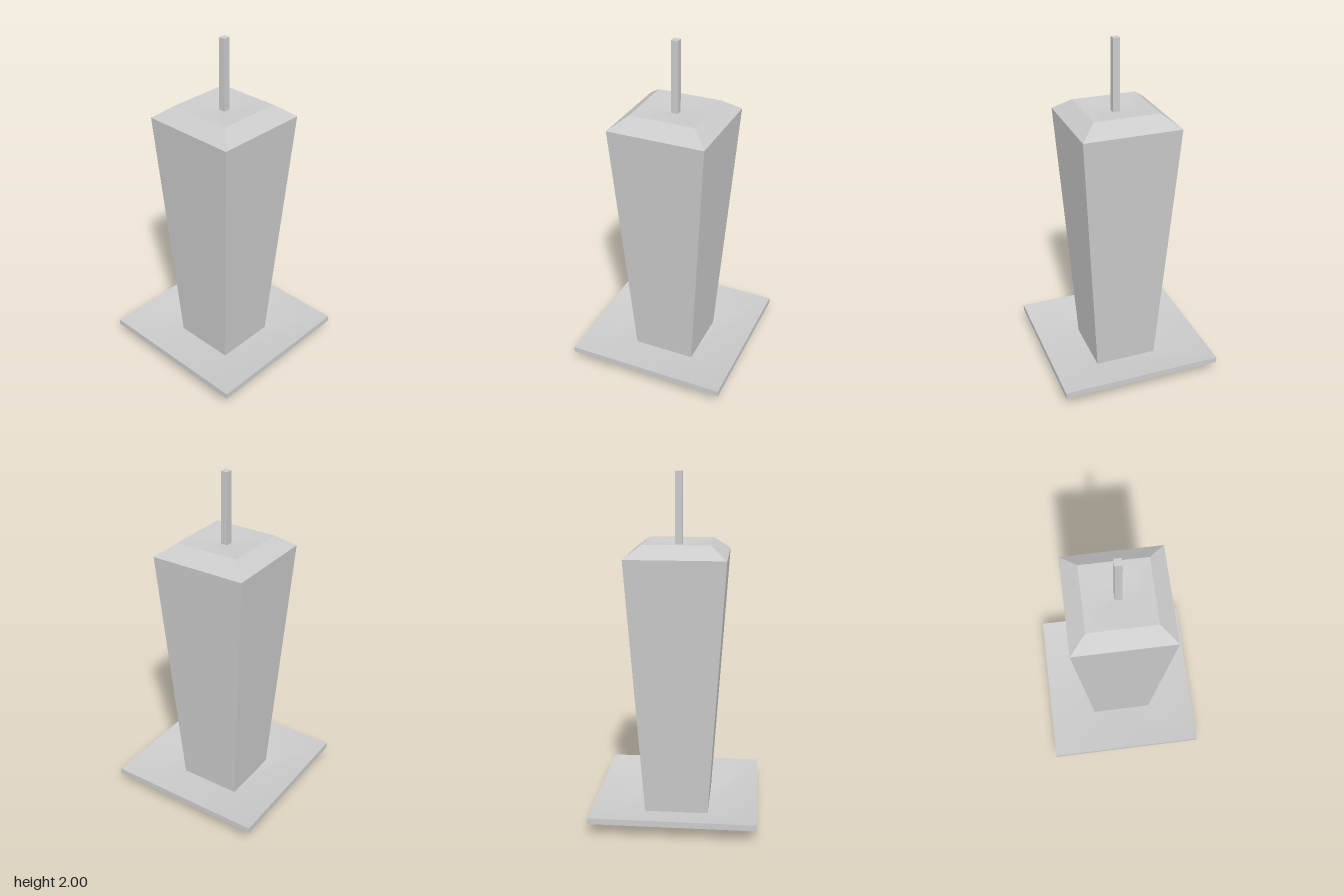
import * as THREE from 'three';
import { toCreasedNormals } from 'three/addons/utils/BufferGeometryUtils.js';

const material = new THREE.MeshStandardMaterial({ color: 0xcccccc });

// Square solid swept from a profile of [half width, height] points, bottom to top
function squareSolid(name, profile) {
  const points = profile.map(([half, y]) => new THREE.Vector2(half * Math.SQRT2, y));
  const lathe = new THREE.LatheGeometry(points, 4, Math.PI / 4);
  const mesh = new THREE.Mesh(toCreasedNormals(lathe, 0.6), material);
  mesh.name = name;
  return mesh;
}

export function createModel() {
  const group = new THREE.Group();
  group.name = 'tower';

  // Shallow square dish: sloping underside, thin rim, top sinking to the tower
  group.add(squareSolid('baseDish', [
    [0, 0], [0.285, 0], [0.473, 0.08], [0.473, 0.115], [0.185, 0.035], [0, 0.035],
  ]));

  // Shaft widening upward, bevelled shoulder and slightly sunken roof
  group.add(squareSolid('towerBody', [
    [0.185, 0.035], [0.283, 1.542], [0.19, 1.613], [0.095, 1.605], [0.02, 1.588], [0, 1.588],
  ]));

  // Thin square mast
  group.add(squareSolid('mast', [[0.02, 1.588], [0.02, 2], [0, 2]]));

  return group;
}
